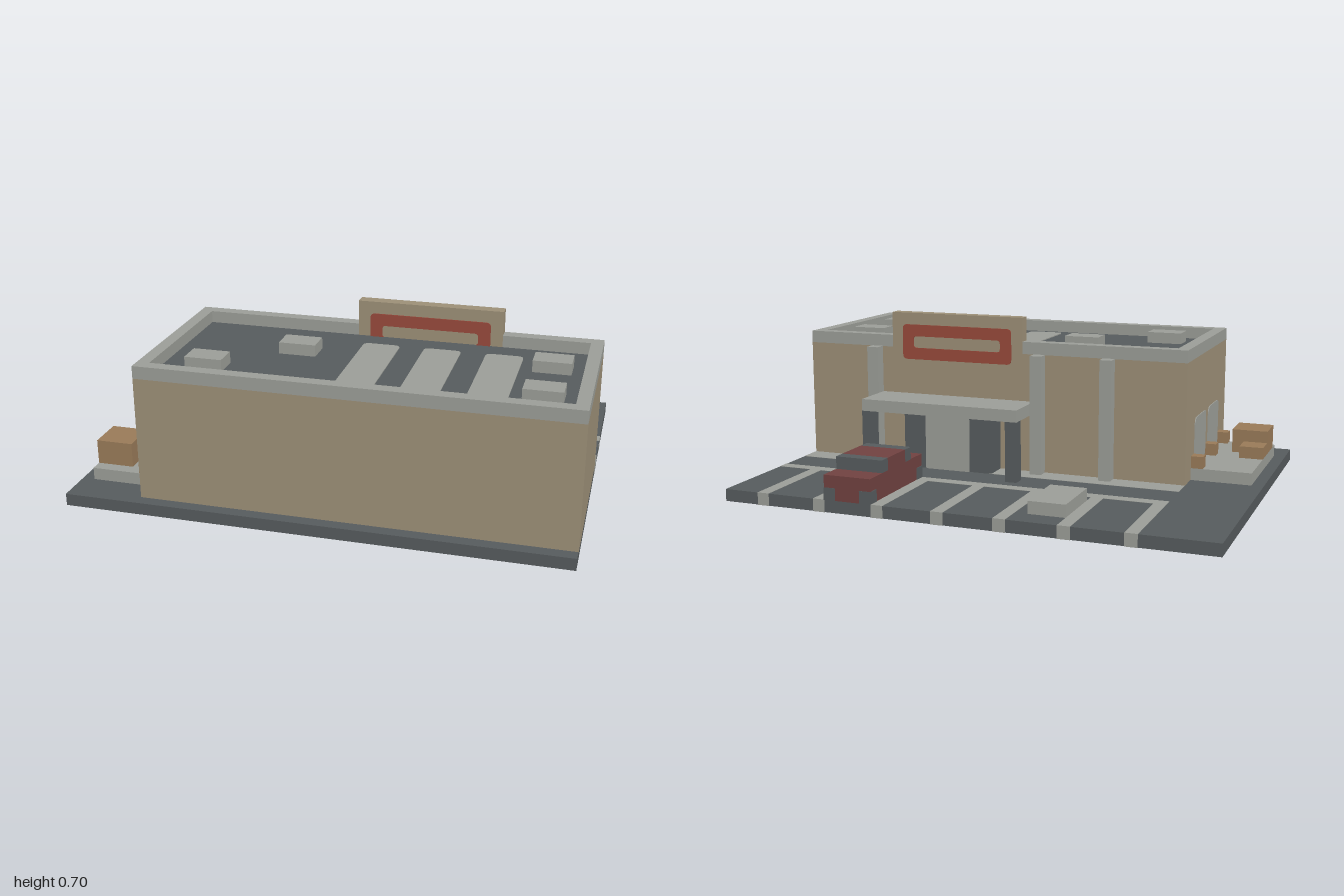
import * as THREE from 'three';

const mat = (name, color) => {
  const m = new THREE.MeshStandardMaterial({ color });
  m.name = name;
  return m;
};

// Rounded rectangle outline, also used for holes
function roundRect(x0, x1, y0, y1, r, Kind = THREE.Shape) {
  const s = new Kind();
  s.moveTo(x0 + r, y0);
  s.lineTo(x1 - r, y0);
  s.quadraticCurveTo(x1, y0, x1, y0 + r);
  s.lineTo(x1, y1 - r);
  s.quadraticCurveTo(x1, y1, x1 - r, y1);
  s.lineTo(x0 + r, y1);
  s.quadraticCurveTo(x0, y1, x0, y1 - r);
  s.lineTo(x0, y0 + r);
  s.quadraticCurveTo(x0, y0, x0 + r, y0);
  return s;
}

export function createModel() {
  const asphalt = mat('asphalt grey', 0x565b5d);
  const concrete = mat('concrete grey', 0x9b9d97);
  const tan = mat('wall tan', 0x9c8f77);
  const signRed = mat('sign red', 0x97493b);
  const carRed = mat('car red', 0x704140);
  const cardboard = mat('cardboard brown', 0x987a58);

  const model = new THREE.Group();
  model.name = 'store';
  const group = (name) => {
    const g = new THREE.Group();
    g.name = name;
    model.add(g);
    return g;
  };
  // Box given by its extents on x, y and z
  const box = (parent, name, m, x0, x1, y0, y1, z0, z1) => {
    const mesh = new THREE.Mesh(new THREE.BoxGeometry(x1 - x0, y1 - y0, z1 - z0), m);
    mesh.position.set((x0 + x1) / 2, (y0 + y1) / 2, (z0 + z1) / 2);
    mesh.name = name;
    parent.add(mesh);
    return mesh;
  };
  const plate = (parent, name, m, shape, depth = 0.004) => {
    const mesh = new THREE.Mesh(
      new THREE.ExtrudeGeometry(shape, { depth, bevelEnabled: false, curveSegments: 5 }), m);
    mesh.name = name;
    parent.add(mesh);
    return mesh;
  };

  // Ground slab with pavement inlaid through its full thickness
  const ground = group('ground');
  box(ground, 'asphaltSlab', asphalt, -0.999, 0.999, 0.001, 0.05, -0.749, 0.75);
  box(ground, 'parkingEndLine', concrete, -0.7, 1, 0, 0.051, -0.35, -0.3);
  for (let i = 0; i < 7; i++) {
    const x = -0.7 + i * 0.25;
    box(ground, 'parkingLine', concrete, x, x + 0.05, 0, 0.051, -0.75, -0.35);
  }
  box(ground, 'sidewalkRight', concrete, -0.7, 0.12, 0, 0.051, -0.15, -0.05);
  box(ground, 'sidewalkLeft', concrete, 0.45, 1, 0, 0.051, -0.15, -0.05);

  // Main building, sunken roof and parapet
  const building = group('building');
  box(building, 'walls', tan, -0.7, 1, 0.045, 0.549, -0.05, 0.7);
  box(building, 'roofDeck', asphalt, -0.65, 0.95, 0.53, 0.551, 0, 0.65);
  box(building, 'parapetFront', concrete, -0.7, 1, 0.549, 0.6, 0.65, 0.7);
  box(building, 'parapetRight', concrete, -0.7, -0.65, 0.549, 0.6, 0, 0.65);
  box(building, 'parapetLeft', concrete, 0.95, 1, 0.549, 0.6, 0, 0.65);
  box(building, 'parapetBackRight', concrete, -0.7, 0, 0.549, 0.6, -0.05, 0);
  box(building, 'parapetBackLeft', concrete, 0.6, 1, 0.549, 0.6, -0.05, 0);

  // Raised sign panel with a red ring on both faces
  const sign = group('sign');
  box(sign, 'signPanel', tan, 0, 0.6, 0.549, 0.7, -0.05, 0);
  for (const z of [-0.054, 0]) {
    const ring = roundRect(0.05, 0.55, 0.5, 0.65, 0.02);
    ring.holes.push(roundRect(0.1, 0.5, 0.55, 0.6, 0.015, THREE.Path));
    plate(sign, 'signRing', signRed, ring).position.z = z;
  }

  // Skylights and roof units
  const roof = group('roofDetails');
  for (const x of [0.05, 0.3, 0.55]) {
    const light = plate(roof, 'skylight', concrete, roundRect(x, x + 0.15, 0.1, 0.6, 0.025));
    light.rotation.x = Math.PI / 2;
    light.position.y = 0.555;
  }
  for (const [x, z] of [[-0.25, 0.2], [-0.55, 0.45], [0.75, 0.15], [0.75, 0.45]]) {
    box(roof, 'roofUnit', concrete, x, x + 0.15, 0.55, 0.598, z, z + 0.1);
  }

  // Wall pilasters, canopy and entrance
  const entrance = group('entrance');
  for (const x of [-0.4, -0.1, 0.65]) {
    box(entrance, 'pilaster', concrete, x, x + 0.05, 0.05, 0.55, -0.1, -0.05);
  }
  box(entrance, 'canopy', concrete, -0.05, 0.65, 0.3, 0.35, -0.25, -0.05);
  for (const x of [-0.05, 0.6]) {
    box(entrance, 'canopyPost', asphalt, x, x + 0.05, 0.05, 0.3, -0.25, -0.2);
  }
  box(entrance, 'vestibule', asphalt, 0.1, 0.5, 0.05, 0.3, -0.15, -0.05);
  box(entrance, 'door', concrete, 0.2, 0.4, 0.05, 0.3, -0.155, -0.15);

  // Loading dock with bumpers, doors and cartons
  const dock = group('loadingDock');
  box(dock, 'dockPlatform', concrete, -0.95, -0.7, 0, 0.1, 0.05, 0.6);
  for (const z of [0.05, 0.3, 0.55]) {
    box(dock, 'dockBumper', cardboard, -0.75, -0.7, 0.1, 0.15, z, z + 0.05);
  }
  for (const z of [0.1, 0.35]) {
    const door = plate(dock, 'dockDoor', concrete, roundRect(-z - 0.2, -z, 0.1, 0.3, 0.03));
    door.rotation.y = Math.PI / 2;
    door.position.x = -0.704;
  }
  box(dock, 'largeCarton', cardboard, -0.95, -0.8, 0.1, 0.2, 0.4, 0.55);
  box(dock, 'smallCarton', cardboard, -0.95, -0.85, 0.1, 0.15, 0.3, 0.4);

  // Parked car
  const car = group('car');
  box(car, 'carBody', carRed, 0.35, 0.55, 0.05, 0.15, -0.749, -0.301);
  box(car, 'carRoof', carRed, 0.35, 0.55, 0.15, 0.2, -0.6, -0.45);
  for (const z of [-0.65, -0.45]) {
    box(car, 'windscreen', asphalt, 0.35, 0.55, 0.148, 0.2, z, z + 0.05);
  }
  for (const x of [0.348, 0.502]) {
    for (const z of [-0.75, -0.35]) {
      box(car, 'wheel', asphalt, x, x + 0.05, 0.05, 0.1, z, z + 0.05);
    }
  }

  // Low cart bay in the car park
  const bay = group('cartBay');
  box(bay, 'cartBayBlock', concrete, -0.4, -0.25, 0.05, 0.1, -0.65, -0.4);

  return model;
}
